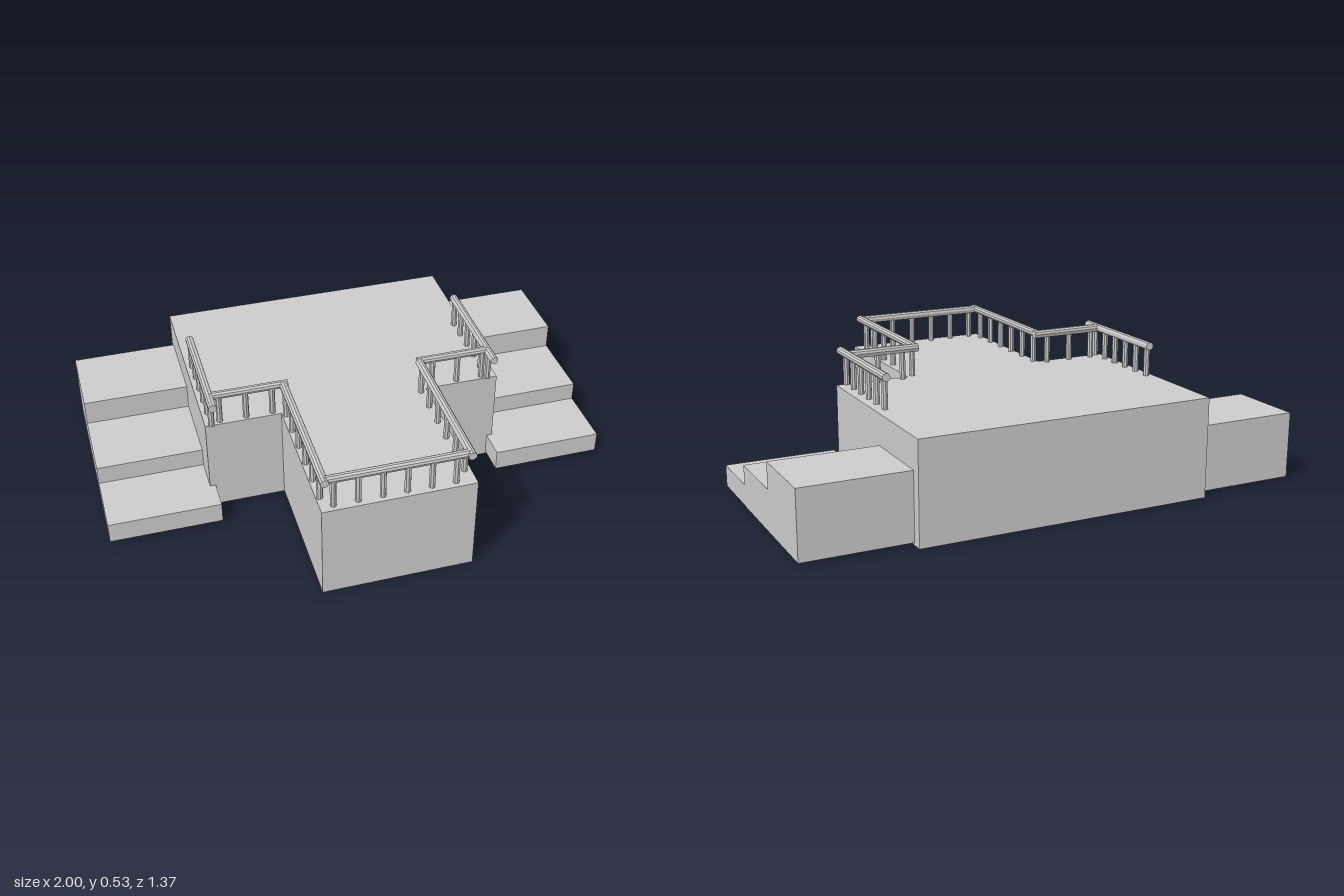
import * as THREE from 'three';

const grey = new THREE.MeshStandardMaterial({ color: 0xcccccc });
const railGrey = new THREE.MeshStandardMaterial({ color: 0xcccccc, flatShading: true });

const DECK = 0.39, RAIL_Y = 0.51, RAIL_R = 0.016, POST_R = 0.012;

// Extrudes a 2D outline and names the mesh
function prism(name, points, depth) {
  const shape = new THREE.Shape(points.map(([x, y]) => new THREE.Vector2(x, y)));
  const geometry = new THREE.ExtrudeGeometry(shape, { depth, bevelEnabled: false });
  const mesh = new THREE.Mesh(geometry, grey);
  mesh.name = name;
  return mesh;
}

// Box given by its minimum and maximum corners
function box(name, a, b) {
  const mesh = new THREE.Mesh(new THREE.BoxGeometry(b[0] - a[0], b[1] - a[1], b[2] - a[2]), grey);
  mesh.position.set((a[0] + b[0]) / 2, (a[1] + b[1]) / 2, (a[2] + b[2]) / 2);
  mesh.name = name;
  return mesh;
}

// Straight handrail between two [x, z] points, carried by posts at the given [x, z] spots
function railing(name, from, to, posts) {
  const group = new THREE.Group();
  group.name = name;
  const a = new THREE.Vector3(from[0], RAIL_Y, from[1]);
  const b = new THREE.Vector3(to[0], RAIL_Y, to[1]);
  const rail = new THREE.Mesh(new THREE.CylinderGeometry(RAIL_R, RAIL_R, a.distanceTo(b), 10), railGrey);
  rail.name = 'handrail';
  rail.position.copy(a).add(b).multiplyScalar(0.5);
  rail.quaternion.setFromUnitVectors(new THREE.Vector3(0, 1, 0), b.clone().sub(a).normalize());
  group.add(rail);
  const height = RAIL_Y - DECK;
  const geometry = new THREE.CylinderGeometry(POST_R, POST_R, height, 8);
  for (const [x, z] of posts) {
    const post = new THREE.Mesh(geometry, railGrey);
    post.name = 'post';
    post.position.set(x, DECK + height / 2, z);
    group.add(post);
  }
  return group;
}

// Evenly spaced numbers from a to b
const spread = (a, b, n) => Array.from({ length: n }, (_, i) => a + (b - a) * i / (n - 1));

export function createModel() {
  const model = new THREE.Group();
  model.name = 'terrace';

  // T-shaped platform, outline in x and -z, extruded upwards
  const platform = prism('platform', [
    [-0.29, -0.68], [0.29, -0.68], [0.29, -0.095], [0.585, -0.095],
    [0.585, 0.685], [-0.585, 0.685], [-0.585, -0.095], [-0.29, -0.095],
  ], DECK);
  platform.rotation.x = -Math.PI / 2;
  model.add(platform);

  for (const side of [-1, 1]) {
    const label = side > 0 ? 'left' : 'right';

    // Stairs: the lowest tread reaches slightly further inward
    const stairs = new THREE.Group();
    stairs.name = label + 'Stairs';
    const steps = [
      ['lowerStep', 0.563, 0.012, 0.095, -0.04, 0.212],
      ['middleStep', 0.58, 0.01, 0.17, -0.335, -0.04],
      ['upperStep', 0.58, 0.01, 0.27, -0.645, -0.335],
    ];
    for (const [name, inner, y0, y1, z0, z1] of steps) {
      const x0 = side > 0 ? inner : -1, x1 = side > 0 ? 1 : -inner;
      stairs.add(box(name, [x0, y0, z0], [x1, y1, z1]));
    }
    model.add(stairs);

    // Railings beside the stairs, across the shoulder and along the front wing
    const outer = side > 0 ? 0.545 : -0.56;
    const inner = side > 0 ? 0.265 : -0.275;
    model.add(railing(label + 'SideRailing', [outer, -0.317], [outer, 0.152],
      spread(-0.297, 0.093, 6).map(z => [outer, z])));
    model.add(railing(label + 'ShoulderRailing', [outer, 0.072], [side * 0.257, 0.072],
      spread(side * 0.525, side * 0.32, 3).map(x => [x, 0.075])));
    model.add(railing(label + 'WingRailing', [inner, 0.077], [inner, 0.672],
      spread(0.11, 0.6, 6).map(z => [inner, z])));
  }

  // Railing across the front edge
  model.add(railing('frontRailing', [-0.27, 0.65], [0.26, 0.65],
    spread(-0.24, 0.215, 6).map(x => [x, 0.652])));

  return model;
}
